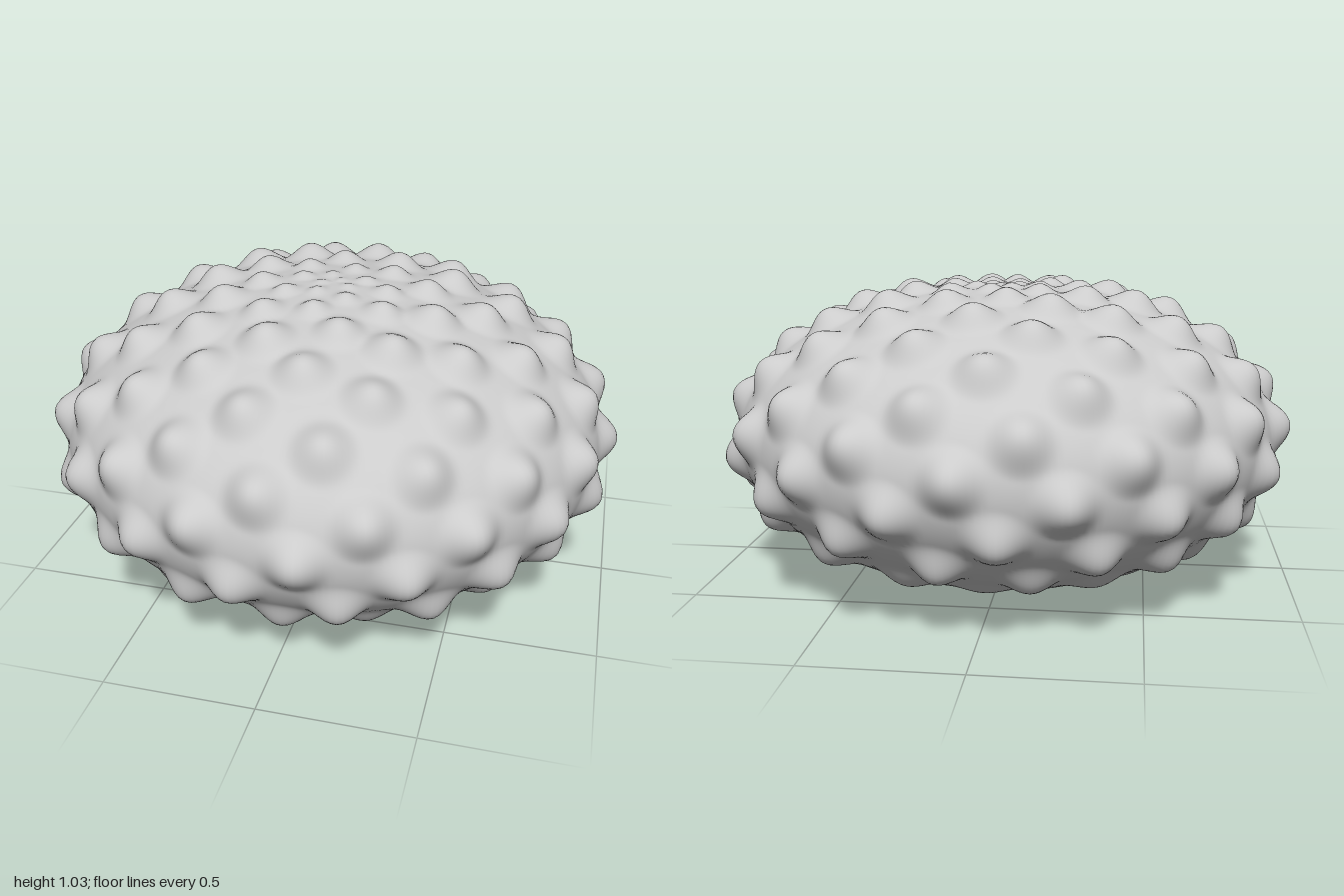
import * as THREE from 'three';
import { mergeVertices } from 'three/addons/utils/BufferGeometryUtils.js';

const A = 0.941, B = 0.513;      // body half-width and half-height
const HOLE = 0.2;                // radius of the bore in the underside
const BORE_DEPTH = 0.75;
const AMP = 0.055, RADIUS = 0.118; // knob height and radius

const holeAngle = Math.PI - Math.asin(HOLE / A);
const centerY = -B * Math.cos(holeAngle);

// Knob centres on a golden-angle spiral climbing from the bottom to the top
function knobCentres() {
  const golden = Math.PI * (3 - Math.sqrt(5));
  const knobs = [];
  for (let i = 15; i < 176; i++) {
    const polar = THREE.MathUtils.degToRad(176.8 - i);
    const r = A * Math.sin(polar), y = B * Math.cos(polar);
    // knobs shrink towards the crown and fade out underneath
    const fade = THREE.MathUtils.smoothstep(y + centerY, 0.02, 0.27);
    if (fade > 0) knobs.push({
      p: new THREE.Vector3(r * Math.cos(i * golden), y, r * Math.sin(i * golden)),
      radius: RADIUS * Math.min(1, 0.25 + r / 0.55),
      height: AMP * Math.min(1, 0.06 + r / 0.45) * fade,
    });
  }
  return knobs;
}

// Flattened sphere, pushed out along its normal wherever a knob sits
function shellGeometry() {
  let geo = new THREE.SphereGeometry(1, 300, 160, 0, Math.PI * 2, 0, holeAngle);
  geo.deleteAttribute('uv');
  geo.deleteAttribute('normal');
  geo = mergeVertices(geo, 1e-5);
  const knobs = knobCentres();
  const pos = geo.attributes.position;
  const v = new THREE.Vector3(), n = new THREE.Vector3();
  for (let k = 0; k < pos.count; k++) {
    v.fromBufferAttribute(pos, k);
    n.set(v.x / A, v.y / B, v.z / A).normalize();
    v.set(v.x * A, v.y * B, v.z * A);
    let lift = 0;
    for (const { p, radius, height } of knobs) {
      const d = v.distanceTo(p) / radius;
      if (d < 1) lift += height * (0.5 + 0.5 * Math.cos(Math.PI * d));
    }
    v.addScaledVector(n, lift);
    pos.setXYZ(k, v.x, v.y + centerY, v.z);
  }
  geo.computeVertexNormals();
  return geo;
}

export function createModel() {
  const group = new THREE.Group();
  group.name = 'knobbedShell';
  const material = new THREE.MeshStandardMaterial({ color: 0xcccccc });
  const inside = new THREE.MeshStandardMaterial({ color: 0xcccccc, side: THREE.DoubleSide });

  const shell = new THREE.Mesh(shellGeometry(), material);
  shell.name = 'shell';
  group.add(shell);

  // Blind round bore in the underside
  const bore = new THREE.Mesh(
    new THREE.CylinderGeometry(HOLE, HOLE, BORE_DEPTH, 96, 1, true), inside);
  bore.name = 'bore';
  bore.position.y = BORE_DEPTH / 2;
  group.add(bore);

  const boreEnd = new THREE.Mesh(new THREE.CircleGeometry(HOLE, 96), inside);
  boreEnd.name = 'boreEnd';
  boreEnd.rotation.x = Math.PI / 2;
  boreEnd.position.y = BORE_DEPTH;
  group.add(boreEnd);

  return group;
}
